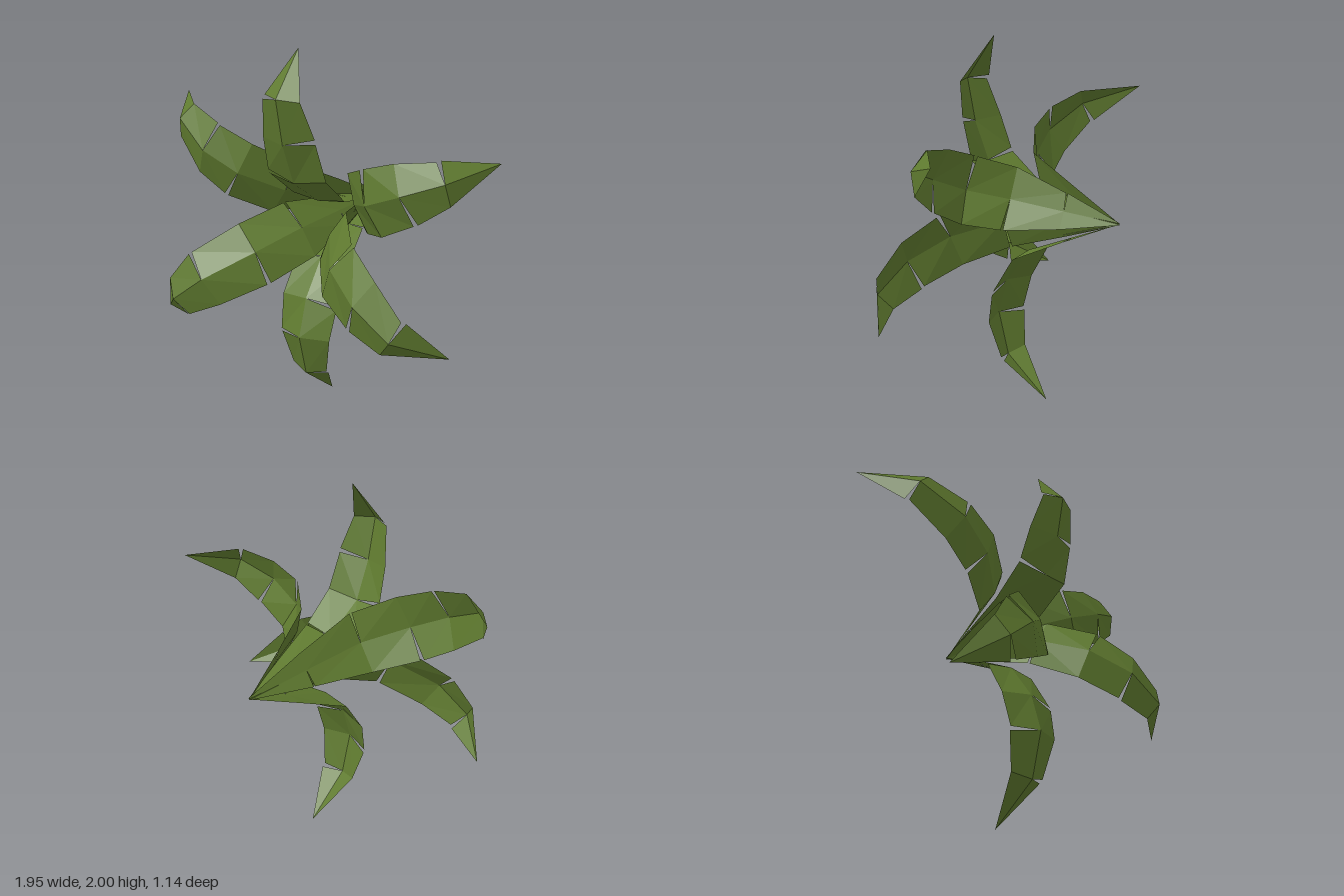
import * as THREE from 'three';

// Shared root where every leaf starts
const ROOT = [0.04, 1.09, -0.57];

// Midrib points of each leaf, from the root outwards to the tip
const LEAVES = {
  topLeaf: [[0.05, 1.19, 0.04], [0.05, 1.33, 0.26], [0.05, 1.54, 0.35], [0.05, 1.77, 0.40], [0.05, 2.0, 0.21]],
  bottomLeaf: [[0.04, 0.86, -0.01], [0.04, 0.66, 0.14], [0.04, 0.45, 0.205], [0.04, 0.21, 0.14], [0.04, 0, -0.13]],
  upperRightLeaf: [[-0.15, 1.22, 0.06], [-0.35, 1.32, 0.22], [-0.55, 1.43, 0.27], [-0.785, 1.57, 0.19], [-0.98, 1.68, -0.10]],
  upperLeftLeaf: [[0.23, 1.18, -0.03], [0.39, 1.235, 0.13], [0.60, 1.32, 0.16], [0.81, 1.40, 0.10], [0.97, 1.47, -0.18]],
  lowerRightLeaf: [[-0.02, 1.04, 0.09], [-0.12, 0.96, 0.37], [-0.35, 0.81, 0.54], [-0.53, 0.67, 0.575], [-0.73, 0.53, 0.40]],
  lowerLeftLeaf: [[0.15, 1.03, 0.08], [0.31, 0.94, 0.32], [0.52, 0.83, 0.44], [0.73, 0.70, 0.455], [0.94, 0.59, 0.23]],
};

// Per station: half width, how far the edges sit behind the midrib, tear opening
const HALF_WIDTHS = [0.006, 0.095, 0.168, 0.178, 0.16, 0.112, 0];
const FOLDS = [0, 0.006, 0.02, 0.04, 0.055, 0.045, 0];
const TEARS = [0, 0.008, 0.012, 0.022, 0.022, 0.026, 0];

function leafGeometry(points) {
  const root = new THREE.Vector3(...ROOT);
  const outer = points.map((p) => new THREE.Vector3(...p));
  const rib = [root, root.clone().lerp(outer[0], 0.5), ...outer];
  const last = rib.length - 1;

  // Sideways direction, square to the direction the leaf grows in
  const radial = rib[last].clone().sub(root).setZ(0).normalize();
  const side = new THREE.Vector3(-radial.y, radial.x, 0);

  const step = (i) => rib[i + 1].clone().sub(rib[i]).normalize();
  const edge = (i, s) => {
    const tangent = step(Math.max(i - 1, 0)).add(step(Math.min(i, last - 1)));
    const back = side.clone().cross(tangent).normalize();
    return rib[i].clone()
      .addScaledVector(side, s * HALF_WIDTHS[i])
      .addScaledVector(back, FOLDS[i]);
  };

  const positions = [];
  const triangle = (...corners) => corners.forEach((c) => positions.push(c.x, c.y, c.z));
  for (const s of [1, -1]) {
    for (let i = 0; i < last; i++) {
      const start = edge(i, s);
      // Tears alternate between the two edges
      if ((i % 2 === 1) === (s === 1)) start.addScaledVector(step(i), TEARS[i]);
      const end = edge(i + 1, s);
      const [a, b] = s === 1 ? [start, rib[i]] : [rib[i], start];
      const [c, d] = s === 1 ? [rib[i + 1], end] : [end, rib[i + 1]];
      triangle(a, b, c);
      if (i < last - 1) triangle(a, c, d);
    }
  }
  const geometry = new THREE.BufferGeometry();
  geometry.setAttribute('position', new THREE.Float32BufferAttribute(positions, 3));
  geometry.computeVertexNormals();
  return geometry;
}

export function createModel() {
  const model = new THREE.Group();
  model.name = 'plant';
  const leafGreen = new THREE.MeshStandardMaterial({ color: 0x5f7a2f, flatShading: true, side: THREE.DoubleSide });
  leafGreen.name = 'leaf green';
  for (const [name, points] of Object.entries(LEAVES)) {
    const leaf = new THREE.Mesh(leafGeometry(points), leafGreen);
    leaf.name = name;
    model.add(leaf);
  }
  return model;
}
